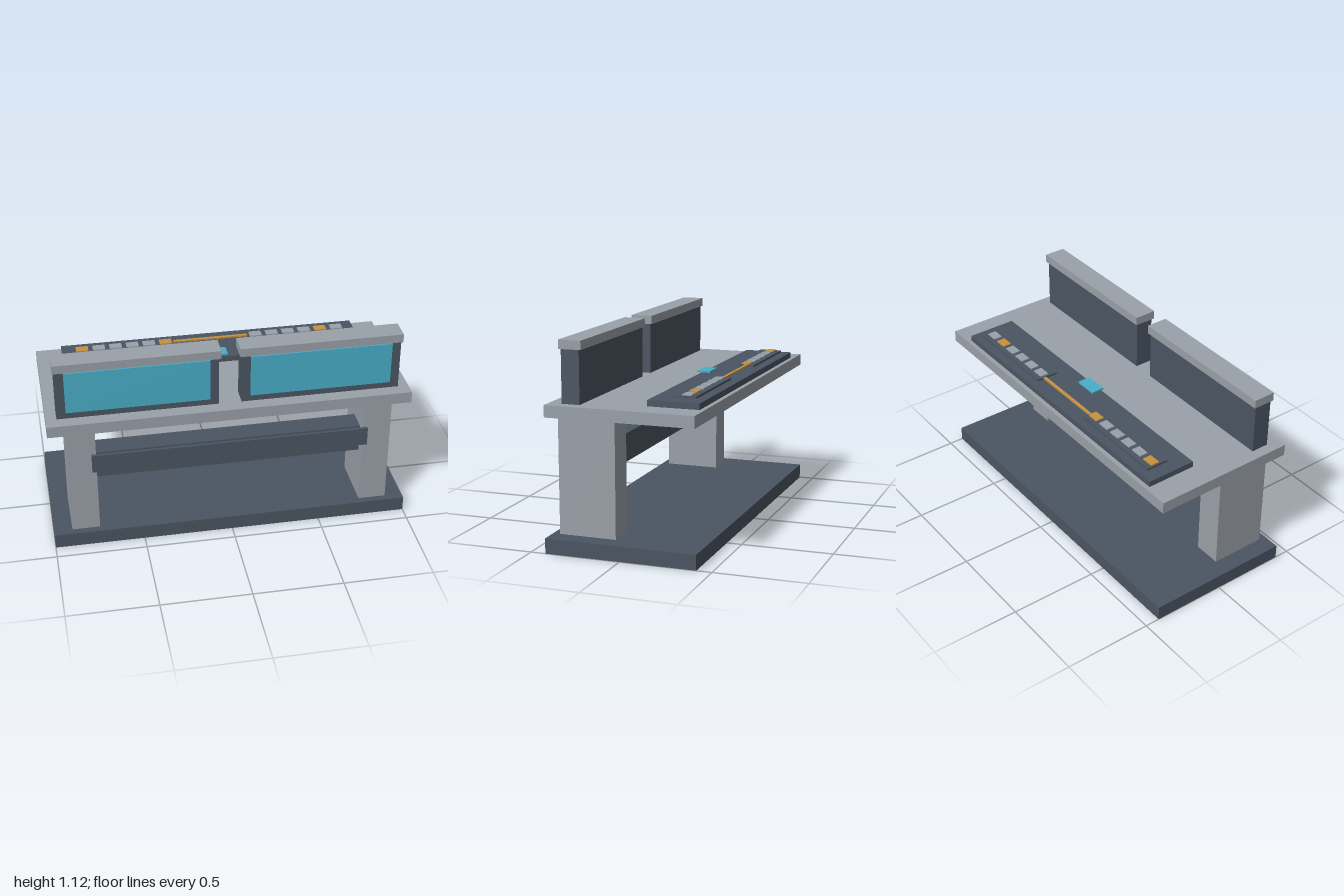
import * as THREE from 'three';

const mat = (name, color) => {
  const m = new THREE.MeshStandardMaterial({ color });
  m.name = name;
  return m;
};

export function createModel() {
  const grey = mat('light grey', 0x9aa1a9);
  const dark = mat('dark slate', 0x4b5562);
  const cyan = mat('screen cyan', 0x4aaec8);
  const amber = mat('amber', 0xc89240);
  const model = new THREE.Group();
  model.name = 'controlDesk';

  // Box given by its extents on each axis
  const box = (name, material, [x0, x1], [y0, y1], [z0, z1]) => {
    const mesh = new THREE.Mesh(new THREE.BoxGeometry(x1 - x0, y1 - y0, z1 - z0), material);
    mesh.position.set((x0 + x1) / 2, (y0 + y1) / 2, (z0 + z1) / 2);
    mesh.name = name;
    model.add(mesh);
  };
  const span = (side, a, b) => (side > 0 ? [a, b] : [-b, -a]);

  // Base, desktop and cross members
  box('base', dark, [-1, 1], [0, 0.083], [-0.417, 0.417]);
  box('desktop', grey, [-1, 1], [0.727, 0.792], [-0.408, 0.409]);
  box('frontPanel', dark, [-0.77, 0.767], [0.465, 0.572], [0.377, 0.394]);
  box('crossBeam', dark, [-0.745, 0.745], [0.38, 0.54], [0.19, 0.315]);

  // Control console
  box('console', dark, [-0.855, 0.853], [0.792, 0.825], [-0.383, -0.1]);
  box('touchPad', cyan, [-0.066, 0.066], [0.837, 0.846], [-0.17, -0.095]);
  box('lightStrip', amber, [-0.22, 0.215], [0.836, 0.845], [-0.303, -0.286]);

  for (const side of [-1, 1]) {
    box('leg', grey, span(side, 0.745, 0.9), [0.083, 0.71], [0.06, 0.377]);

    // Monitor with cap and screen
    box('monitorBody', dark, span(side, 0.062, 0.94), [0.792, 1.077], [0.235, 0.335]);
    box('monitorCap', grey, span(side, 0.051, 0.948), [1.077, 1.125], [0.222, 0.346]);
    box('screen', cyan, span(side, 0.11, 0.89), [0.83, 1.071], [0.335, 0.344]);

    // Key panel with a row of six keys
    box('keyPanel', dark, span(side, 0.216, 0.785), [0.833, 0.845], [-0.341, -0.213]);
    for (let i = 0; i < 6; i++) {
      const x = side * (0.263 + i * 0.096);
      const lit = side < 0 ? i === 0 || i === 5 : i === 4;
      box('key', lit ? amber : grey, [x - 0.035, x + 0.035], [0.845, 0.851], [-0.312, -0.262]);
    }
  }
  return model;
}
